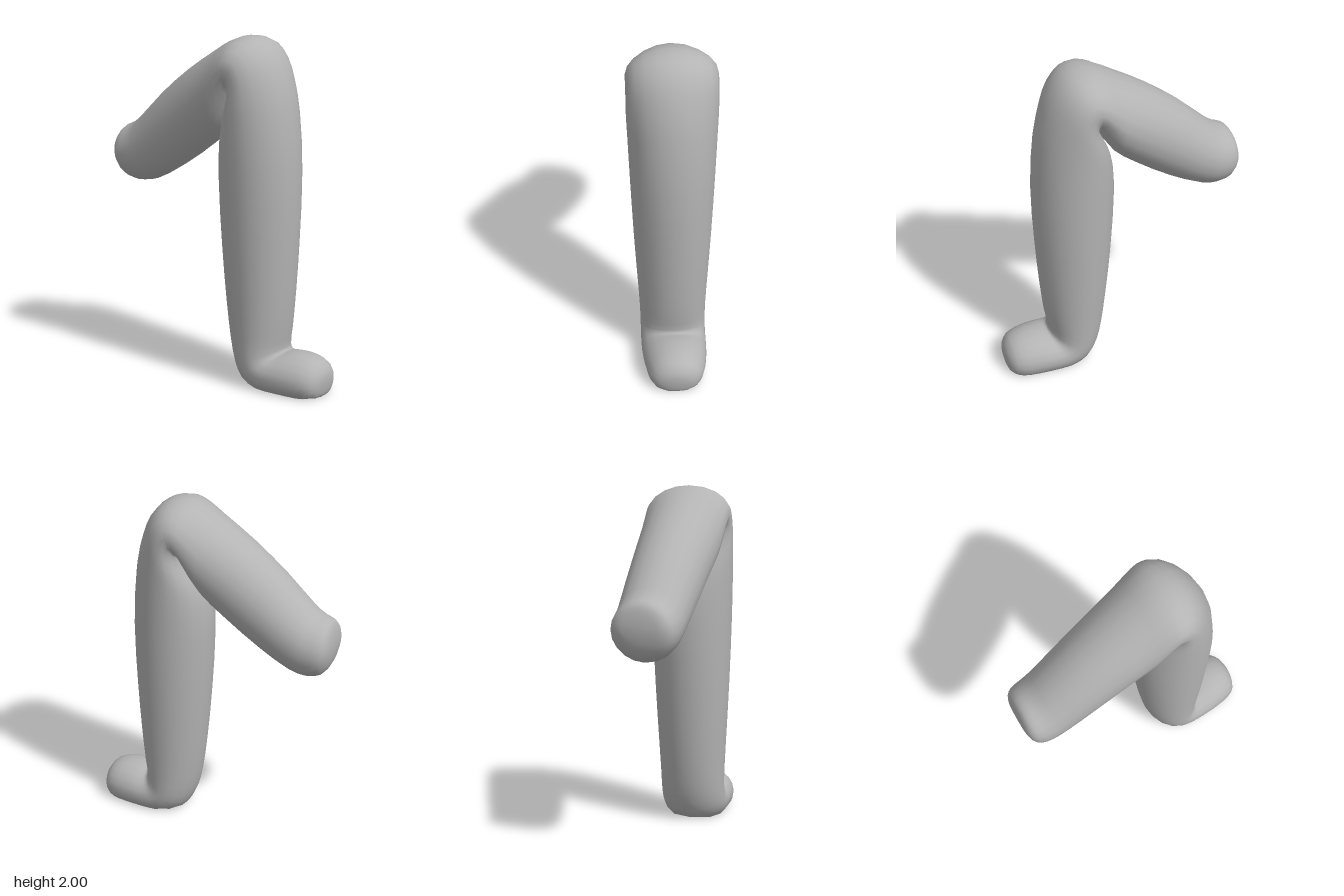
import * as THREE from 'three';

// Cross-sections from hip to toe: outer edge (x, y), inner edge (x, y), half width in z
const SECTIONS = [
  // hip end
  [-0.722, 1.33, -0.724, 1.23, 0.1],
  [-0.708, 1.39, -0.708, 1.16, 0.145],
  [-0.68, 1.42, -0.665, 1.1, 0.175],
  [-0.63, 1.44, -0.59, 1.08, 0.187],
  // thigh
  [-0.57, 1.485, -0.49, 1.1, 0.192],
  [-0.4, 1.645, -0.32, 1.19, 0.205],
  [-0.2, 1.8, -0.1, 1.345, 0.222],
  [0, 1.925, 0.03, 1.46, 0.238],
  // knee
  [0.09, 1.975, 0.1, 1.58, 0.245],
  [0.18, 2.0, 0.14, 1.67, 0.25],
  [0.28, 1.98, 0.135, 1.66, 0.25],
  [0.36, 1.9, 0.11, 1.6, 0.25],
  [0.415, 1.78, 0.06, 1.5, 0.25],
  // shin
  [0.46, 1.6, 0.03, 1.38, 0.245],
  [0.49, 1.25, 0.02, 1.18, 0.236],
  [0.482, 0.85, 0.04, 0.8, 0.221],
  [0.465, 0.55, 0.07, 0.47, 0.205],
  [0.445, 0.33, 0.1, 0.25, 0.194],
  // heel and instep
  [0.43, 0.225, 0.135, 0.11, 0.192],
  [0.44, 0.205, 0.19, 0.01, 0.192],
  [0.47, 0.212, 0.3, -0.05, 0.192],
  // foot and toe
  [0.52, 0.22, 0.45, -0.06, 0.187],
  [0.6, 0.218, 0.6, -0.06, 0.17],
  [0.67, 0.195, 0.67, -0.04, 0.143],
  [0.705, 0.155, 0.702, -0.01, 0.1],
  [0.718, 0.12, 0.715, 0.04, 0.05],
];
const SIDES = 20;
const STEPS = 2; // rings per section

// Smooth loft through the sections, with closed ends and a flat sole
function loftLimb() {
  const outer = new THREE.CatmullRomCurve3(SECTIONS.map(s => new THREE.Vector3(s[0], s[1], s[4])));
  const inner = new THREE.CatmullRomCurve3(SECTIONS.map(s => new THREE.Vector3(s[2], s[3], s[4])));
  const rings = (SECTIONS.length - 1) * STEPS + 1;
  const pos = [], index = [];
  const centre = i => outer.getPoint(i / (rings - 1)).add(inner.getPoint(i / (rings - 1))).multiplyScalar(0.5);

  for (let i = 0; i < rings; i++) {
    const o = outer.getPoint(i / (rings - 1));
    const c = centre(i);
    for (let j = 0; j < SIDES; j++) {
      const a = (j / SIDES) * Math.PI * 2;
      const k = Math.cos(a);
      pos.push(c.x + (o.x - c.x) * k, Math.max(0, c.y + (o.y - c.y) * k), c.z * Math.sin(a));
    }
  }
  for (let i = 0; i < rings - 1; i++) {
    for (let j = 0; j < SIDES; j++) {
      const n = (j + 1) % SIDES;
      const a = i * SIDES + j, b = i * SIDES + n;
      index.push(a, b, a + SIDES, b, b + SIDES, a + SIDES);
    }
  }
  // End caps
  const first = centre(0), last = centre(rings - 1);
  const hip = rings * SIDES, toe = hip + 1, end = (rings - 1) * SIDES;
  pos.push(first.x - 0.005, first.y, 0, last.x + 0.004, last.y, 0);
  for (let j = 0; j < SIDES; j++) {
    const n = (j + 1) % SIDES;
    index.push(hip, n, j, toe, end + j, end + n);
  }

  const g = new THREE.BufferGeometry();
  g.setAttribute('position', new THREE.Float32BufferAttribute(pos, 3));
  g.setIndex(index);
  g.computeVertexNormals();
  return g;
}

export function createModel() {
  const group = new THREE.Group();
  group.name = 'bentLeg';
  const grey = new THREE.MeshStandardMaterial({ color: 0xb4b4b4 });
  grey.name = 'grey';
  const leg = new THREE.Mesh(loftLimb(), grey);
  leg.name = 'leg';
  group.add(leg);
  return group;
}
